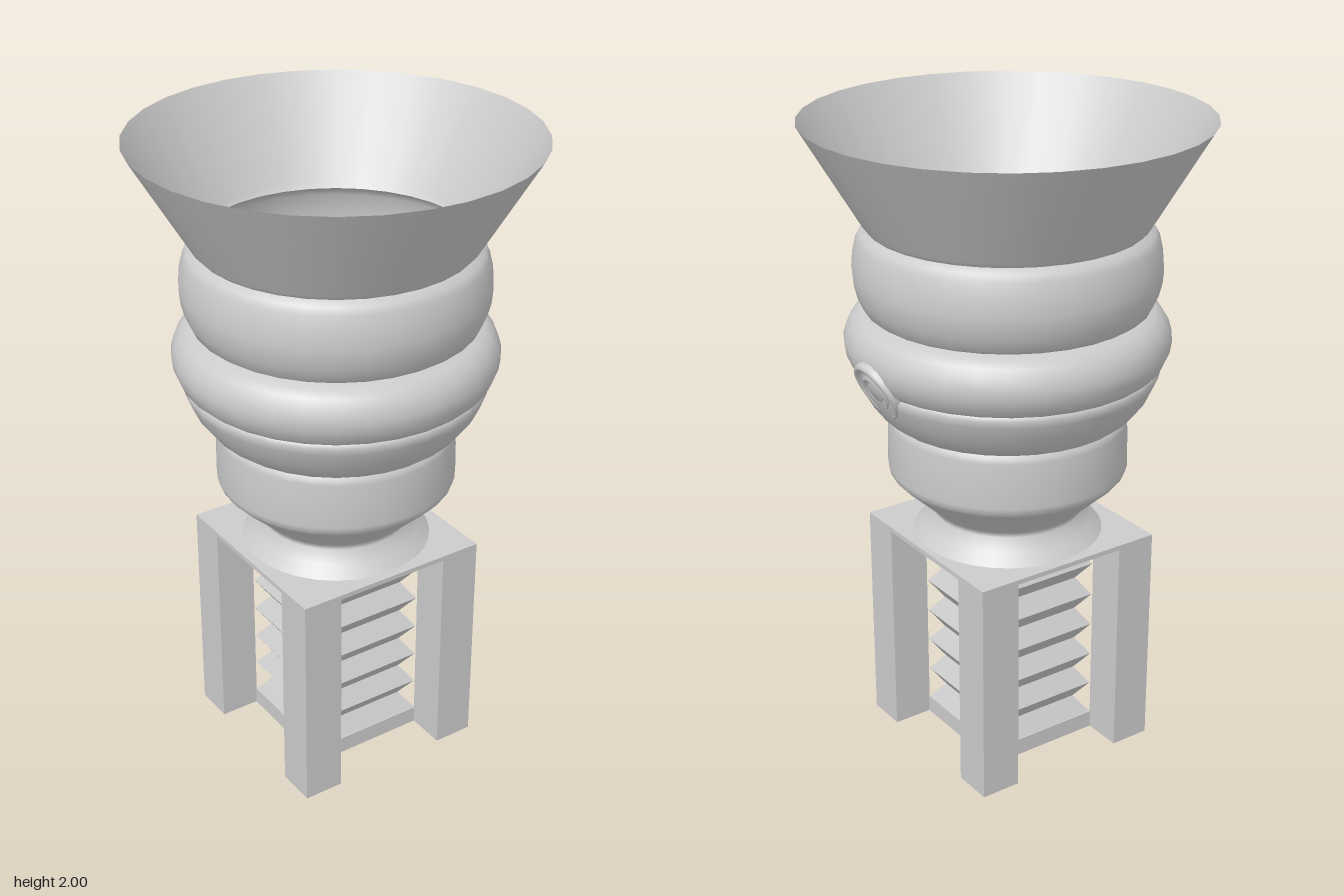
import * as THREE from 'three';

const smooth = new THREE.MeshStandardMaterial({ color: 0xcccccc, side: THREE.DoubleSide });
const flat = new THREE.MeshStandardMaterial({ color: 0xcccccc, flatShading: true });

// Open surface of revolution from [radius, y] pairs, listed bottom to top
function lathe(name, profile, segments = 32) {
  const points = profile.map(([r, y]) => new THREE.Vector2(r, y));
  const mesh = new THREE.Mesh(new THREE.LatheGeometry(points, segments), smooth);
  mesh.name = name;
  return mesh;
}

function box(name, w, h, d, x, y, z) {
  const mesh = new THREE.Mesh(new THREE.BoxGeometry(w, h, d), flat);
  mesh.name = name;
  mesh.position.set(x, y, z);
  return mesh;
}

// Square frame with four posts around a pleated square column
function createBase() {
  const base = new THREE.Group();
  base.name = 'base';
  const half = 0.316, post = 0.128, height = 0.715;
  const c = half - post / 2;
  for (const sx of [-1, 1]) {
    for (const sz of [-1, 1]) base.add(box('post', post, height, post, sx * c, height / 2, sz * c));
  }
  base.add(box('topPlate', half * 2, 0.015, half * 2, 0, height - 0.0075, 0));
  base.add(box('bottomPlate', 0.38, 0.055, 0.38, 0, 0.0275, 0));

  // Pleats alternate between wide and narrow squares
  const pleats = [];
  for (let i = 0; i <= 12; i++) {
    const halfWidth = i % 2 ? 0.148 : 0.186;
    pleats.push(new THREE.Vector2(halfWidth * Math.SQRT2, 0.055 + i * 0.0542));
  }
  const bellows = new THREE.Mesh(new THREE.LatheGeometry(pleats, 4, Math.PI / 4), flat);
  bellows.name = 'bellows';
  base.add(bellows);
  base.position.x = -0.005;
  return base;
}

// Round badge with raised concentric rings, tilted to follow the body
function createBadge() {
  const badge = lathe('badge', [
    [0.097, -0.03], [0.097, 0.004], [0.092, 0.012], [0.083, 0.012], [0.076, 0.004],
    [0.06, 0.004], [0.055, 0.012], [0.047, 0.012], [0.042, 0.005], [0.034, 0.005],
    [0.03, 0.012], [0, 0.013],
  ], 24);
  badge.position.set(0.452, 1.27, 0);
  badge.rotation.z = -Math.PI / 2 - 0.46;
  return badge;
}

export function createModel() {
  const model = new THREE.Group();
  model.name = 'ribbedFunnel';
  model.add(createBase());

  // Stacked hollow sections; separate meshes keep the seams crisp
  model.add(
    lathe('neck', [[0.292, 0.715], [0.258, 0.75], [0.23, 0.785], [0.234, 0.803], [0.29, 0.856], [0.35, 0.912]]),
    lathe('collar', [[0.35, 0.912], [0.361, 0.925], [0.366, 0.945], [0.365, 1.02], [0.362, 1.085], [0.358, 1.1], [0.348, 1.113]]),
    lathe('lowerBulge', [[0.348, 1.113], [0.365, 1.115], [0.39, 1.135], [0.426, 1.183], [0.45, 1.235], [0.456, 1.258], [0.448, 1.268]]),
    lathe('middleBulge', [[0.448, 1.268], [0.467, 1.285], [0.482, 1.32], [0.487, 1.355], [0.477, 1.39], [0.46, 1.416], [0.438, 1.433], [0.41, 1.441]]),
    lathe('upperBulge', [[0.41, 1.441], [0.425, 1.452], [0.443, 1.49], [0.453, 1.53], [0.456, 1.565], [0.452, 1.61], [0.441, 1.655], [0.43, 1.675], [0.408, 1.688]]),
    lathe('funnel', [[0.408, 1.688], [0.422, 1.703], [0.598, 2]]),
    createBadge(),
  );
  return model;
}
